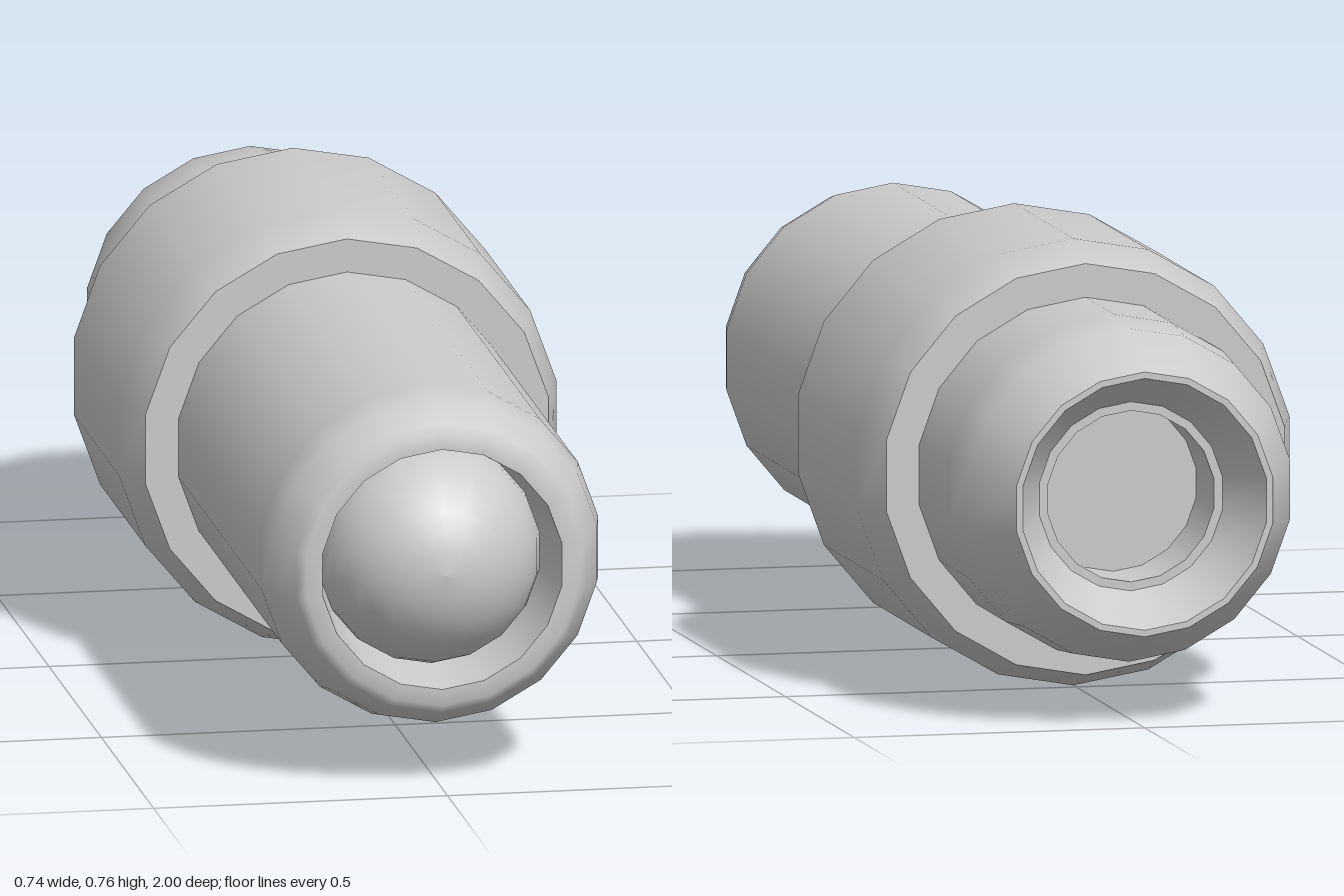
import * as THREE from 'three';

const SIDES = 18;
const AXIS_Y = 0.378;

export function createModel() {
  const model = new THREE.Group();
  model.name = 'plungerBody';
  const material = new THREE.MeshStandardMaterial({ color: 0xcccccc });

  // Each run of [radius, z] points is smooth; a new run starts a hard edge.
  function turned(name, ...runs) {
    const part = new THREE.Group();
    part.name = name;
    for (const run of runs) {
      const points = run.map(([r, z]) => new THREE.Vector2(r, z));
      const geometry = new THREE.LatheGeometry(points, SIDES);
      geometry.rotateX(Math.PI / 2);
      geometry.translate(0, AXIS_Y, 0);
      const mesh = new THREE.Mesh(geometry, material);
      mesh.name = name;
      part.add(mesh);
    }
    model.add(part);
  }

  // Tapered tail
  turned('tail',
    [[0.213, -1], [0.224, -1]],
    [[0.224, -1], [0.282, -0.885], [0.291, -0.78], [0.291, -0.57]]);

  // Stepped socket in the tail end
  turned('tailSocket',
    [[0.16, -0.9], [0.213, -1]],
    [[0.145, -0.9], [0.16, -0.9]],
    [[0.145, -0.77], [0.145, -0.9]],
    [[0, -0.77], [0.145, -0.77]]);

  // Wide collar with chamfered ends
  turned('collar',
    [[0.291, -0.57], [0.348, -0.57]],
    [[0.348, -0.57], [0.378, -0.48], [0.378, -0.05], [0.348, 0.04]],
    [[0.348, 0.04], [0.291, 0.04]]);

  // Long barrel with a rounded nose
  turned('barrel',
    [[0.291, 0.04], [0.291, 0.83], [0.279, 0.885], [0.25, 0.938], [0.235, 0.95], [0.207, 0.95]]);

  // Tapered seat holding the ball
  turned('ballSeat', [[0.207, 0.95], [0.188, 0.81]]);

  // Ball showing through the nose
  const R = 0.19;
  const arc = [];
  for (let i = 0; i <= 8; i++) {
    const a = (i / 8) * Math.PI / 2;
    arc.push([R * Math.cos(a), 0.81 + R * Math.sin(a)]);
  }
  turned('ball', arc);

  return model;
}
